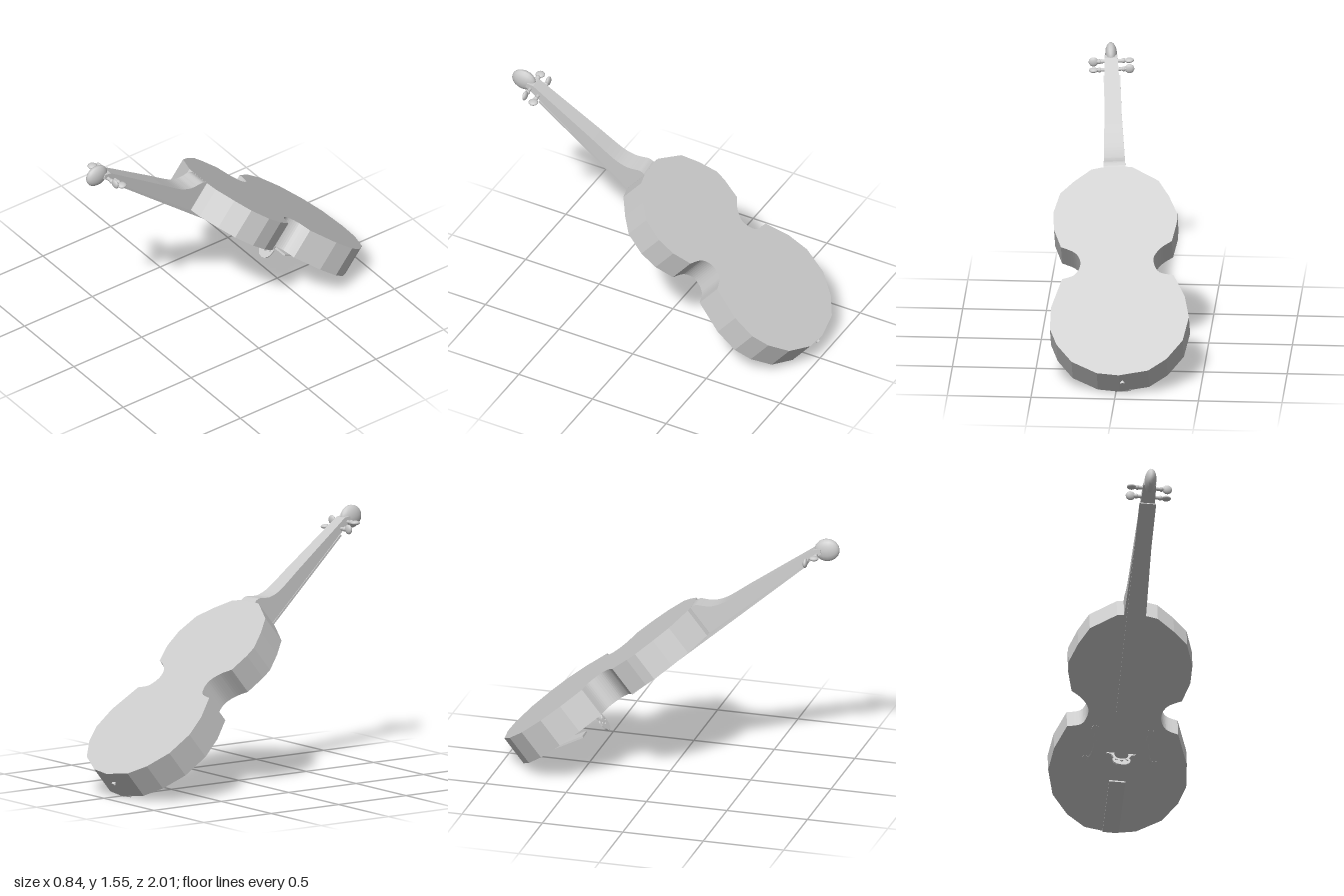
import * as THREE from 'three';

const TILT = 0.889;   // lean of the whole instrument
const YAW = 0.078;    // turn of the instrument in its own plane
const DEPTH = 0.19;   // body thickness

const material = new THREE.MeshStandardMaterial({ color: 0xcccccc });
material.name = 'plain grey';

const vecs = (pts) => pts.map(([x, y]) => new THREE.Vector2(x, y));

function add(parent, name, geometry, position = [0, 0, 0], rotation = [0, 0, 0]) {
  const mesh = new THREE.Mesh(geometry, material);
  mesh.name = name;
  mesh.position.set(...position);
  mesh.rotation.set(...rotation);
  parent.add(mesh);
  return mesh;
}

// Thin board between two (along, out) points
function board(parent, name, width, thick, [y0, z0], [y1, z1]) {
  const length = Math.hypot(y1 - y0, z1 - z0);
  return add(parent, name, new THREE.BoxGeometry(width, length, thick),
    [0, (y0 + y1) / 2, (z0 + z1) / 2], [Math.atan2(z1 - z0, y1 - y0), 0, 0]);
}

// Body: faceted bouts with a smooth round waist on either side
function bodyGeometry() {
  const s = new THREE.Shape();
  s.moveTo(0, 0.158);
  [[-0.037, 0.155], [-0.198, 0.065], [-0.265, -0.04], [-0.32, -0.16], [-0.32, -0.227], [-0.297, -0.351]]
    .forEach((p) => s.lineTo(...p));
  s.splineThru(vecs([[-0.23, -0.405], [-0.193, -0.479], [-0.228, -0.565], [-0.318, -0.586]]));
  [[-0.392, -0.732], [-0.424, -0.876], [-0.394, -1.039], [-0.304, -1.169], [-0.198, -1.252],
    [-0.024, -1.29], [0.108, -1.278], [0.262, -1.203], [0.357, -1.087], [0.402, -0.978],
    [0.402, -0.829], [0.346, -0.632]].forEach((p) => s.lineTo(...p));
  s.splineThru(vecs([[0.27, -0.597], [0.241, -0.52], [0.275, -0.45], [0.363, -0.41]]));
  [[0.41, -0.292], [0.42, -0.174], [0.385, -0.038], [0.305, 0.0486], [0.206, 0.133], [0.14, 0.15]]
    .forEach((p) => s.lineTo(...p));
  return new THREE.ExtrudeGeometry(s, { depth: DEPTH, bevelEnabled: false, curveSegments: 5 });
}

// Neck: side profile extruded across, then tapered toward the head
function neckGeometry() {
  const s = new THREE.Shape();
  s.moveTo(0.13, 0.192);
  s.lineTo(0.13, 0.002);
  s.lineTo(0.165, 0);
  s.splineThru(vecs([[0.195, 0.008], [0.23, 0.04], [0.27, 0.068], [0.349, 0.091], [0.514, 0.102]]));
  s.lineTo(0.994, 0.138);
  s.lineTo(1.03, 0.16);
  s.lineTo(1.02, 0.186);
  s.lineTo(0.9, 0.184);
  const g = new THREE.ExtrudeGeometry(s, { depth: 1, bevelEnabled: false, curveSegments: 4 });
  const p = g.attributes.position;
  for (let i = 0; i < p.count; i++) {
    const along = p.getX(i), out = p.getY(i);
    const width = THREE.MathUtils.mapLinear(along, 0.16, 1, 0.13, 0.078);
    p.setXYZ(i, (p.getZ(i) - 0.5) * width, along, out);
  }
  g.computeVertexNormals();
  return g;
}

// Bridge: mirrored half outline with a pierced heart and side slots
function bridgeGeometry() {
  const half = [[0.04, 0], [0.09, 0], [0.088, 0.008], [0.062, 0.02], [0.051, 0.045], [0.046, 0.066],
    [0.055, 0.078], [0.053, 0.1], [0.045, 0.125], [0.027, 0.145]];
  const arch = [[0.02, 0.07], [0.034, 0.054], [0.041, 0.03], [0.043, 0.012]];
  const right = [...arch, ...half];
  const left = right.map(([x, y]) => [-x, y]).reverse();
  const s = new THREE.Shape(vecs([...right, [0, 0.152], ...left]));
  s.holes.push(new THREE.Path(vecs([[0, 0.112], [0.012, 0.099], [0.008, 0.091], [0, 0.096], [-0.008, 0.091], [-0.012, 0.099]])));
  for (const m of [-1, 1]) {
    s.holes.push(new THREE.Path(vecs([[0.02, 0.085], [0.034, 0.08], [0.041, 0.088], [0.036, 0.099], [0.03, 0.09]]
      .map(([x, y]) => [x * m, y]))));
  }
  return new THREE.ExtrudeGeometry(s, { depth: 0.01, bevelEnabled: false }).translate(0, 0, -0.005);
}

// Sound hole: flat S-shaped strip with a round eye at each end
function soundHole(parent, name, pts, eyes) {
  const group = new THREE.Group();
  group.name = name;
  group.position.z = DEPTH;
  const curve = new THREE.CatmullRomCurve3(pts.map(([x, y]) => new THREE.Vector3(x, y, 0)));
  add(group, 'soundHoleStroke', new THREE.TubeGeometry(curve, 20, 0.009, 6).scale(1, 1, 0.25));
  for (const [x, y] of eyes) {
    add(group, 'soundHoleEye', new THREE.CylinderGeometry(0.024, 0.024, 0.004, 16), [x, y, 0], [Math.PI / 2, 0, 0]);
  }
  parent.add(group);
}

export function createModel() {
  const model = new THREE.Group();
  model.name = 'violin';
  const lean = new THREE.Group();
  lean.name = 'leaningInstrument';
  lean.position.set(0, 0.972, 0);
  lean.rotation.x = TILT;
  model.add(lean);

  add(lean, 'body', bodyGeometry());
  soundHole(lean, 'rightSoundHole',
    [[-0.14, -0.61], [-0.15, -0.65], [-0.15, -0.7], [-0.17, -0.77], [-0.2, -0.81]], [[-0.15, -0.602], [-0.206, -0.802]]);
  soundHole(lean, 'leftSoundHole',
    [[0.175, -0.63], [0.163, -0.67], [0.168, -0.73], [0.173, -0.79], [0.2, -0.835]], [[0.181, -0.626], [0.208, -0.832]]);

  // Parts lined up on the long axis
  const axis = new THREE.Group();
  axis.name = 'axisParts';
  axis.position.x = 0.058;
  axis.rotation.z = -YAW;
  lean.add(axis);

  add(axis, 'neck', neckGeometry());
  board(axis, 'fingerboard', 0.1, 0.012, [-0.489, 0.23], [0.9, 0.188]);
  board(axis, 'tailpiece', 0.097, 0.012, [-0.907, 0.277], [-1.286, 0.192]);
  add(axis, 'bridge', bridgeGeometry(), [0.011, -0.767, DEPTH], [Math.PI / 2, 0, 0]);

  // Scroll head
  add(axis, 'scroll', new THREE.SphereGeometry(1, 14, 10).scale(0.036, 0.077, 0.07), [0, 1.052, 0.19], [0.5, 0, 0]);

  // Tail button
  add(axis, 'tailButtonStem', new THREE.CylinderGeometry(0.008, 0.008, 0.03, 10), [0, -1.285, 0.076]);
  add(axis, 'tailButton', new THREE.CylinderGeometry(0.014, 0.014, 0.012, 12), [0, -1.304, 0.076]);

  // Tuning pegs: two shafts, flat knobs turned a quarter turn from each other
  [[0.993, 0.173, 1], [0.931, 0.166, -1]].forEach(([y, z, flip]) => {
    add(axis, 'pegShaft', new THREE.CylinderGeometry(0.011, 0.011, 0.2, 10), [0, y, z], [0, 0, Math.PI / 2]);
    for (const side of [-1, 1]) {
      const turn = -TILT + (side === flip ? 0 : Math.PI / 2);
      add(axis, 'pegKnob', new THREE.SphereGeometry(1, 12, 8).scale(0.029, 0.029, 0.014), [side * 0.107, y, z], [turn, 0, 0]);
      add(axis, 'pegCollar', new THREE.SphereGeometry(0.015, 10, 6), [side * 0.072, y, z]);
    }
  });
  return model;
}
